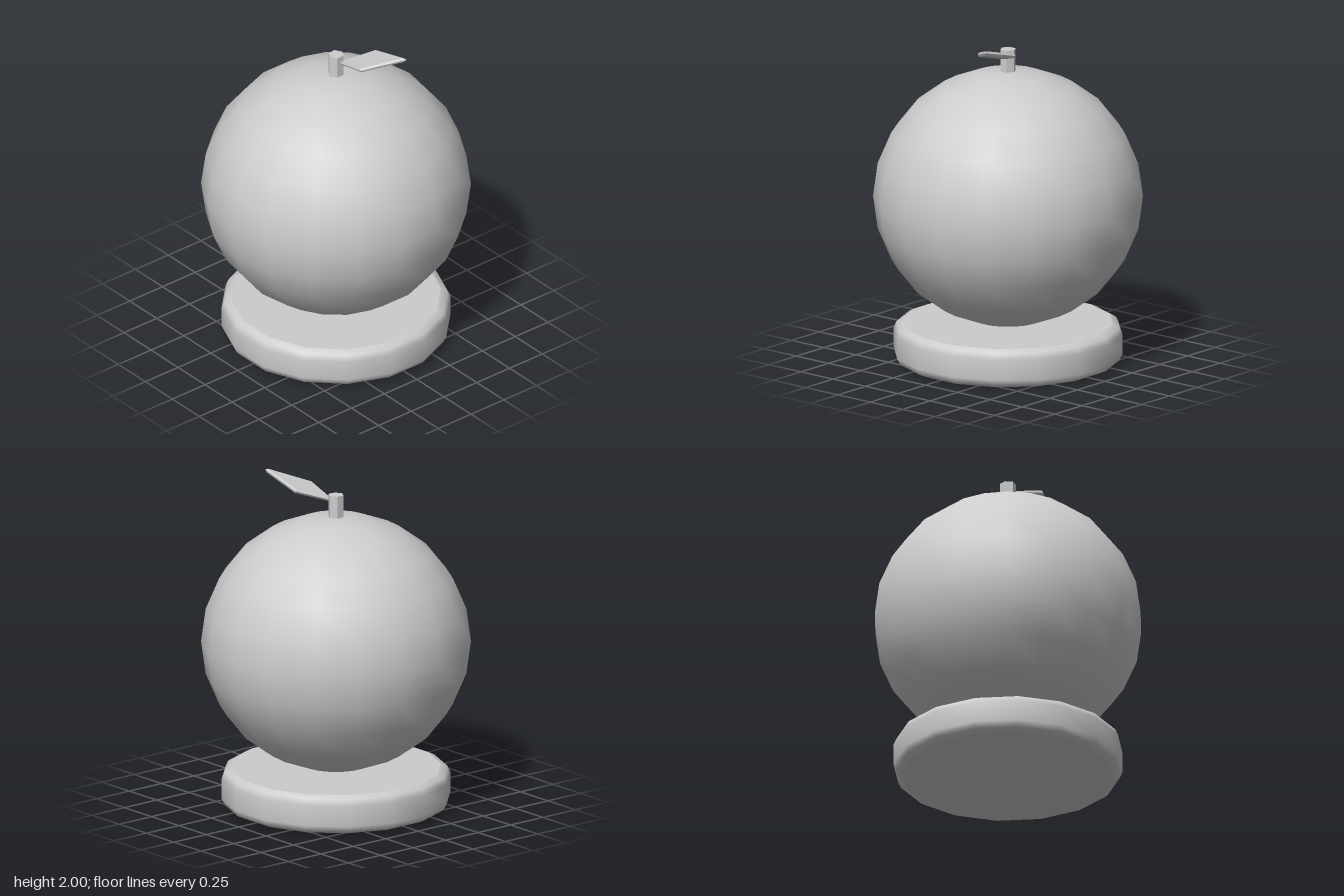
import * as THREE from 'three';

const grey = new THREE.MeshStandardMaterial({ color: 0xcccccc });
grey.name = 'light grey';

function part(name, geometry, x = 0, y = 0, z = 0) {
  const mesh = new THREE.Mesh(geometry, grey);
  mesh.name = name;
  mesh.position.set(x, y, z);
  return mesh;
}

function faceted(geometry) {
  const flat = geometry.index ? geometry.toNonIndexed() : geometry;
  flat.computeVertexNormals();
  return flat;
}

// Round stand: 16-sided rounded rim closed by two flat caps
function createBase() {
  const base = new THREE.Group();
  base.name = 'base';
  const sides = 16, turn = Math.PI / sides;
  const corner = 1 / Math.cos(turn);
  const profile = [
    [0.61, 0], [0.648, 0.018], [0.665, 0.055],
    [0.665, 0.178], [0.648, 0.215], [0.61, 0.233],
  ].map(([r, y]) => new THREE.Vector2(r * corner, y));
  base.add(part('baseRim', new THREE.LatheGeometry(profile, sides, turn)));
  for (const [name, y, tilt] of [['baseTop', 0.233, -1], ['baseBottom', 0, 1]]) {
    const cap = new THREE.CircleGeometry(0.61 * corner, sides, turn);
    cap.rotateX(tilt * Math.PI / 2);
    base.add(part(name, cap, 0, y, 0));
  }
  return base;
}

// Thin bevelled leaf: three stacked four-cornered rings along its normal
function createLeaf() {
  const corners = [
    [0.04, 1.855, 0], [0.25, 1.91, 0.022], [0.428, 1.992, -0.185], [0.15, 1.918, -0.185],
  ].map((c) => new THREE.Vector3(...c));
  const centre = new THREE.Vector3();
  corners.forEach((c) => centre.addScaledVector(c, 0.25));
  const normal = corners[2].clone().sub(corners[0])
    .cross(corners[3].clone().sub(corners[1])).normalize();

  const positions = [], indices = [];
  for (const [scale, lift] of [[0.93, -0.013], [1, 0], [0.93, 0.013]]) {
    for (const c of corners) {
      const p = centre.clone().lerp(c, scale).addScaledVector(normal, lift);
      positions.push(p.x, p.y, p.z);
    }
  }
  for (let ring = 0; ring < 2; ring++) {
    for (let i = 0; i < 4; i++) {
      const a = ring * 4 + i, b = ring * 4 + (i + 1) % 4;
      indices.push(a, b, b + 4, a, b + 4, a + 4);
    }
  }
  indices.push(0, 2, 1, 0, 3, 2, 8, 9, 10, 8, 10, 11);
  const geometry = new THREE.BufferGeometry();
  geometry.setAttribute('position', new THREE.Float32BufferAttribute(positions, 3));
  geometry.setIndex(indices);
  return part('leaf', faceted(geometry));
}

export function createModel() {
  const model = new THREE.Group();
  model.name = 'fruitOnStand';

  // Fruit: slightly squashed sphere resting on the stand
  const fruit = new THREE.SphereGeometry(1, 18, 12);
  fruit.rotateY(Math.PI / 2);
  fruit.scale(0.795, 0.77, 0.795);

  // Six-sided stem
  const stem = faceted(new THREE.CylinderGeometry(0.048, 0.048, 0.155, 6));

  model.add(
    createBase(),
    part('fruit', fruit, 0, 1, 0),
    part('stem', stem, 0, 1.82, 0),
    createLeaf(),
  );
  return model;
}
